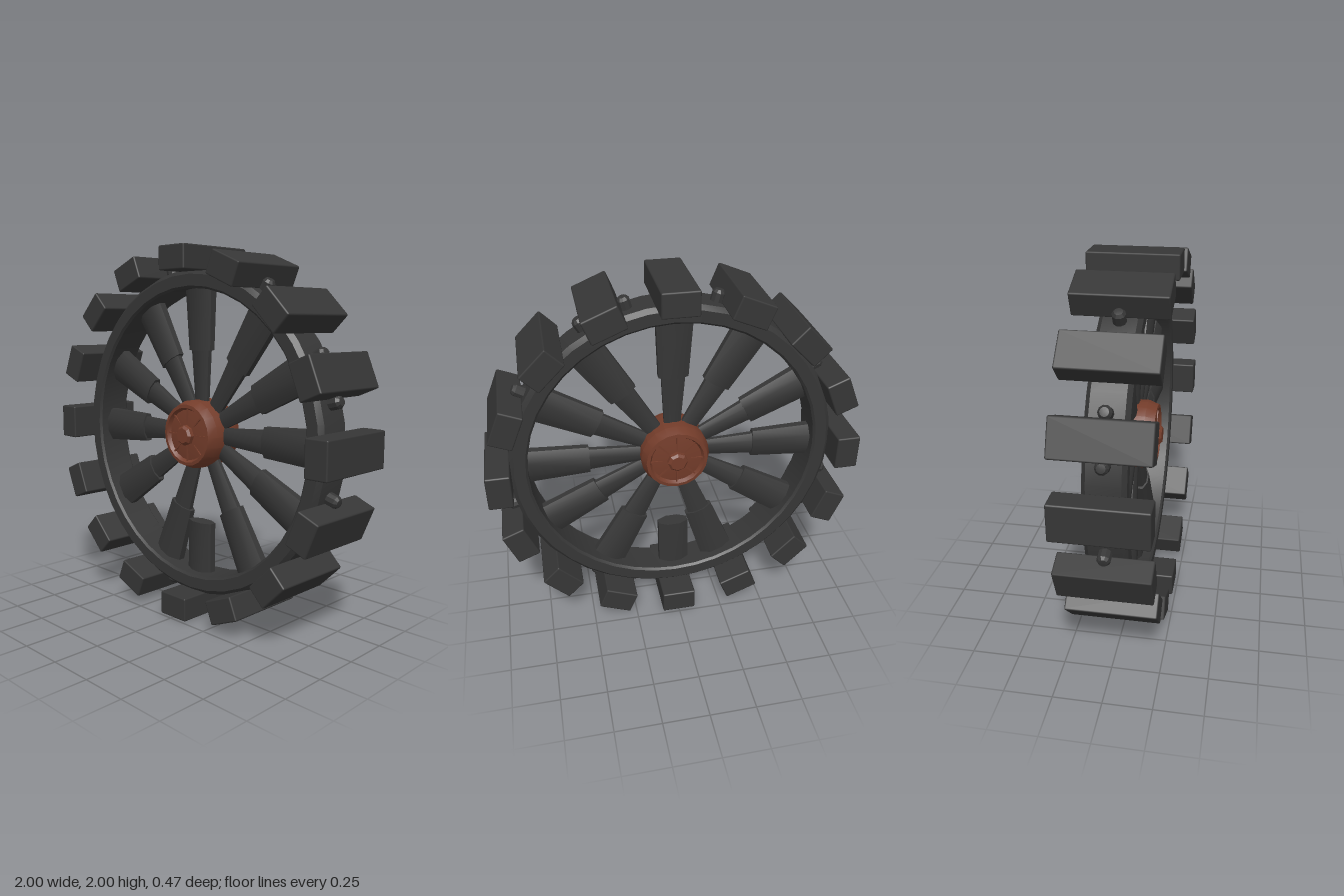
import * as THREE from 'three';
import { toCreasedNormals } from 'three/addons/utils/BufferGeometryUtils.js';
import { RoundedBoxGeometry } from 'three/addons/geometries/RoundedBoxGeometry.js';

export function createModel() {
  const iron = new THREE.MeshStandardMaterial({ name: 'dark iron', color: 0x363636 });
  const rust = new THREE.MeshStandardMaterial({ name: 'rusty brown', color: 0x733c2a });

  const wheel = new THREE.Group();
  wheel.name = 'wheel';
  wheel.position.y = 1;

  const add = (parent, name, geometry, material) => {
    const mesh = new THREE.Mesh(geometry, material);
    mesh.name = name;
    parent.add(mesh);
    return mesh;
  };
  // Group whose local +y points outward at the given angle (degrees from +x)
  const radial = (name, degrees) => {
    const group = new THREE.Group();
    group.name = name;
    group.rotation.z = THREE.MathUtils.degToRad(degrees - 90);
    wheel.add(group);
    return group;
  };
  // Solid of revolution around the y axis, from [radius, height] pairs
  const turned = (pairs, sides) =>
    toCreasedNormals(new THREE.LatheGeometry(pairs.map(([r, h]) => new THREE.Vector2(r, h)), sides), 0.45);

  // Rim: a chamfered band
  add(wheel, 'rim', turned([
    [0.785, -0.092], [0.797, -0.104], [0.858, -0.104], [0.881, -0.082],
    [0.881, 0.082], [0.858, 0.104], [0.797, 0.104], [0.785, 0.092], [0.785, -0.092],
  ], 40).rotateX(Math.PI / 2), iron);

  // Tread blocks across the rim
  const treadGeometry = new RoundedBoxGeometry(0.19, 0.128, 0.47, 1, 0.008);
  for (let i = 0; i < 16; i++) {
    add(radial('tread', i * 22.5), 'treadBlock', treadGeometry, iron).position.y = 0.936;
  }

  // Small round-topped bolts between the treads
  const boltGeometry = turned([[0.034, 0.85], [0.034, 0.925], [0.022, 0.94], [0, 0.943]], 10);
  for (let i = 0; i < 24; i++) {
    add(radial('bolt', i * 15), 'boltHead', boltGeometry, iron);
  }

  // Spokes: flattened, with a wide outer sleeve and a thin inner rod, unevenly spaced
  const bar = (outer, inner, from, to) => toCreasedNormals(
    new THREE.CylinderGeometry(outer, inner, to - from, 8)
      .rotateY(Math.PI / 8).scale(1, 1, 0.5).translate(0, (from + to) / 2, 0), 0.7);
  const sleeve = bar(0.107, 0.086, 0.455, 0.83);
  const innerRod = bar(0.07, 0.045, 0.12, 0.48);
  for (const angle of [0, 28, 55.5, 91, 121.5, 153.5, 181.5, 212.5, 250, 298.5, 332]) {
    const spoke = radial('spoke', angle);
    add(spoke, 'spokeSleeve', sleeve, iron);
    add(spoke, 'spokeRod', innerRod, iron);
  }
  // Broken spoke at the bottom keeps only its sleeve
  add(radial('brokenSpoke', 269.3), 'spokeSleeve', bar(0.095, 0.093, 0.5, 0.83), iron);

  // Hub: raised lip around a shallow dished face on both sides
  const half = [[0.188, 0.07], [0.168, 0.122], [0.15, 0.124], [0.138, 0.104], [0, 0.122]];
  const mirrored = half.map(([r, z]) => [r, -z]).reverse();
  const hub = new THREE.Group();
  hub.name = 'hub';
  hub.position.x = -0.008;
  wheel.add(hub);
  add(hub, 'hubBody', turned([...mirrored, ...half], 20).rotateX(Math.PI / 2), rust);
  const capGeometry = turned([[0.055, 0.1], [0.055, 0.137], [0.042, 0.15], [0, 0.15]], 8).rotateX(Math.PI / 2);
  const ribGeometry = new THREE.BoxGeometry(0.008, 0.1, 0.008);
  for (const turn of [0, Math.PI]) {
    const face = new THREE.Group();
    face.name = 'hubFace';
    face.rotation.y = turn;
    hub.add(face);
    add(face, 'axleCap', capGeometry, rust);
    for (let i = 0; i < 8; i++) {
      const a = (i * Math.PI) / 4;
      const rib = add(face, 'hubRib', ribGeometry, rust);
      rib.position.set(-Math.sin(a) * 0.095, Math.cos(a) * 0.095, 0.11);
      rib.rotation.z = a;
    }
  }

  const model = new THREE.Group();
  model.name = 'spokedWheel';
  model.add(wheel);
  return model;
}
